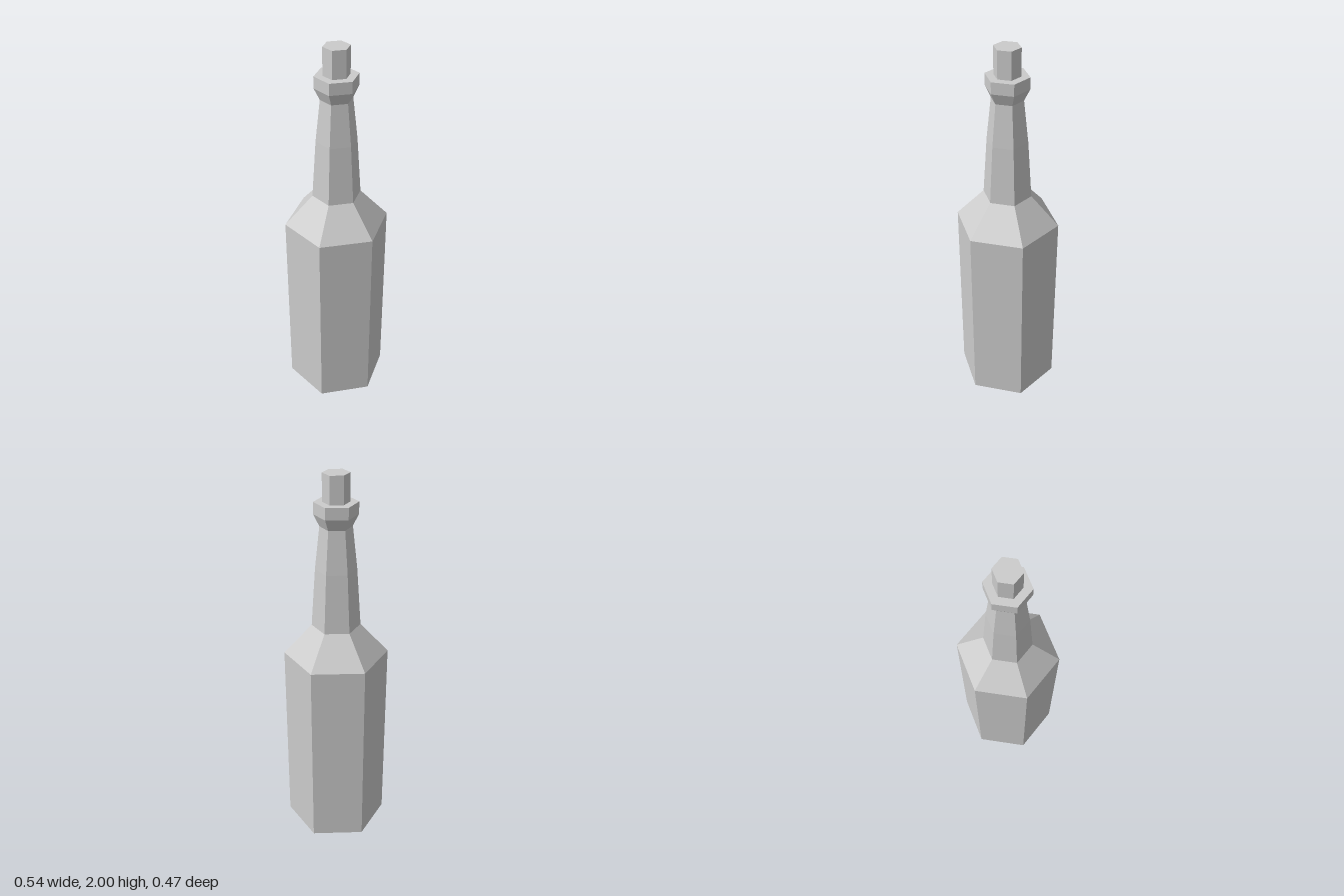
import * as THREE from 'three';

const SIDES = 6;

// Six-sided turned part; profile runs from bottom to top as [radius, height]
function turned(name, profile, material) {
  const points = profile.map(([r, y]) => new THREE.Vector2(r, y));
  const mesh = new THREE.Mesh(new THREE.LatheGeometry(points, SIDES, Math.PI / 2), material);
  mesh.name = name;
  return mesh;
}

export function createModel() {
  const model = new THREE.Group();
  model.name = 'bottle';
  const material = new THREE.MeshStandardMaterial({ color: 0xcccccc, flatShading: true });

  // Glass: recessed base, straight body, shoulder, tapering neck and lip
  model.add(turned('glassBody', [
    [0, 0.055], [0.152, 0.055], [0.272, 0],
    [0.272, 1.05], [0.126, 1.21],
    [0.105, 1.52], [0.081, 1.74],
    [0.11, 1.8], [0.11, 1.86], [0, 1.86],
  ], material));

  // Stopper standing in the mouth
  model.add(turned('cork', [[0.067, 1.86], [0.067, 2], [0, 2]], material));

  return model;
}
